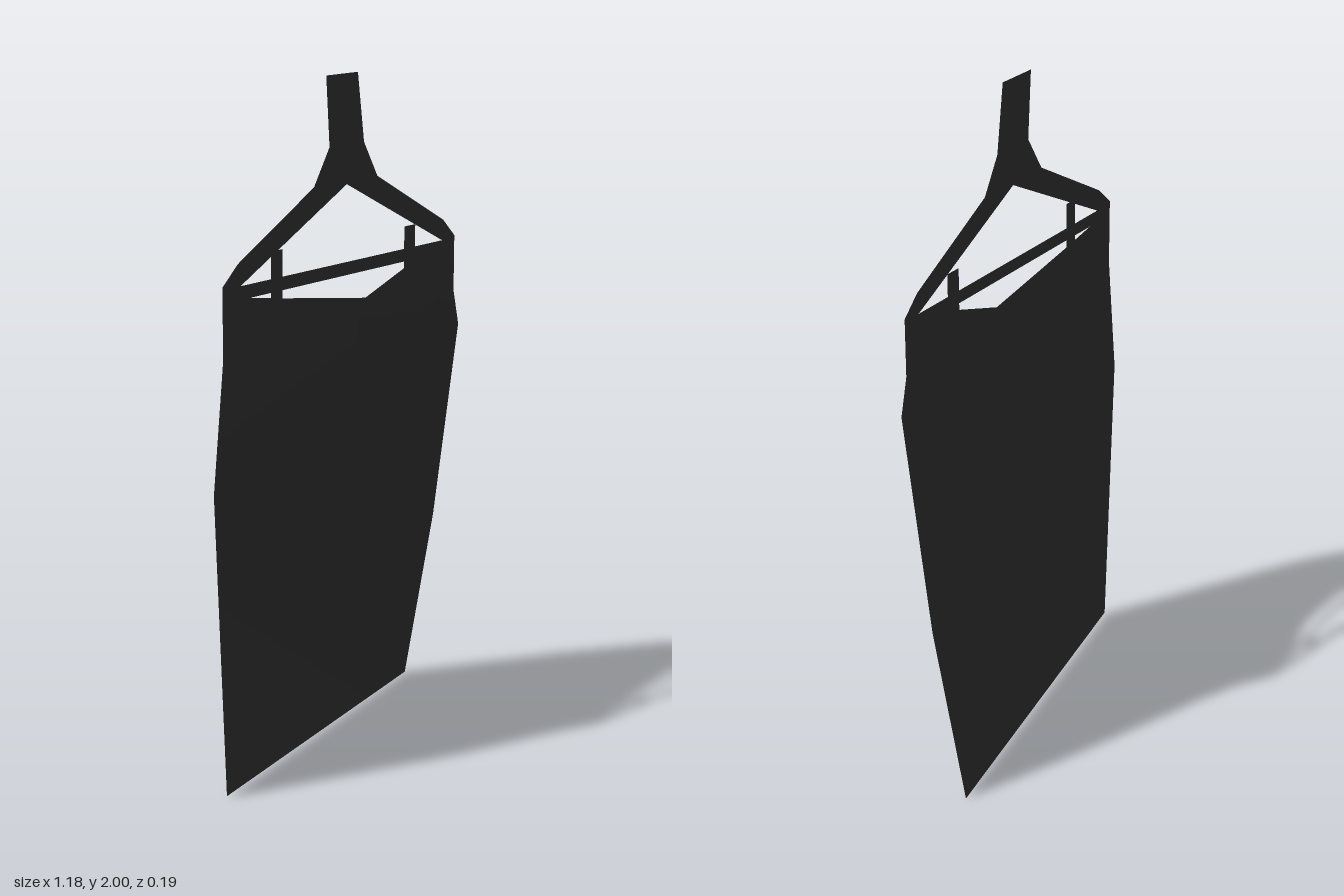
import * as THREE from 'three';
import { mergeGeometries, mergeVertices } from 'three/addons/utils/BufferGeometryUtils.js';

const Z = 0.094; // plane of the flat upper sheet

export function createModel() {
  const group = new THREE.Group();
  const material = new THREE.MeshStandardMaterial({ color: 0x2f2f2f, side: THREE.DoubleSide });
  const add = (name, geometry) => {
    const mesh = new THREE.Mesh(geometry, material);
    mesh.name = name;
    group.add(mesh);
  };
  const toPoints = (list) => list.map(([x, y]) => new THREE.Vector2(x, y));
  const sheet = (outline, hole) => {
    const shape = new THREE.Shape(toPoints(outline));
    if (hole) shape.holes.push(new THREE.Path(toPoints(hole)));
    return new THREE.ShapeGeometry(shape).translate(0, 0, Z);
  };
  const strap = (x0, x1, y1) => sheet([[x0, 1.38], [x1, 1.38], [x1, y1], [x0, y1]]);

  // Hanger with its neck, triangular opening and bar
  add('hanger', sheet([
    [-0.545, 1.425], [0.54, 1.425], [0.54, 1.47], [0.48, 1.525], [0.145, 1.695],
    [0.08, 1.8], [0.05, 2], [-0.095, 2], [-0.08, 1.8], [-0.15, 1.695],
    [-0.48, 1.525], [-0.545, 1.47],
  ], [[-0.47, 1.463], [0, 1.687], [0.475, 1.463]]));

  // Straps looped over the bar
  add('rightStrap', strap(-0.34, -0.29, 1.54));
  add('leftStrap', strap(0.28, 0.335, 1.53));

  // Flat upper part of the cloth with its dipped neckline
  const upper = sheet([
    [-0.59, 0.9], [0.568, 1.19], [0.54, 1.3], [0.54, 1.43], [0.335, 1.427],
    [0.28, 1.405], [0.09, 1.345], [-0.29, 1.402], [-0.44, 1.427], [-0.545, 1.43],
    [-0.545, 1.27],
  ]);

  // Lower part: a fan of folds from the right side to the swung-back left hem
  const lower = new THREE.BufferGeometry();
  lower.setAttribute('position', new THREE.Float32BufferAttribute([
    -0.59, 0.9, Z,
    -0.55, 0.005, Z,
    0.565, 0, -Z,
    0.59, 0.55, -0.007,
    0.568, 1.19, Z,
  ], 3));
  lower.setIndex([0, 1, 2, 0, 2, 3, 0, 3, 4]);

  // Join both parts so the shading runs smoothly over the folds
  upper.deleteAttribute('normal');
  upper.deleteAttribute('uv');
  const cloth = mergeVertices(mergeGeometries([upper, lower]));
  cloth.computeVertexNormals();
  add('cloth', cloth);

  return group;
}
